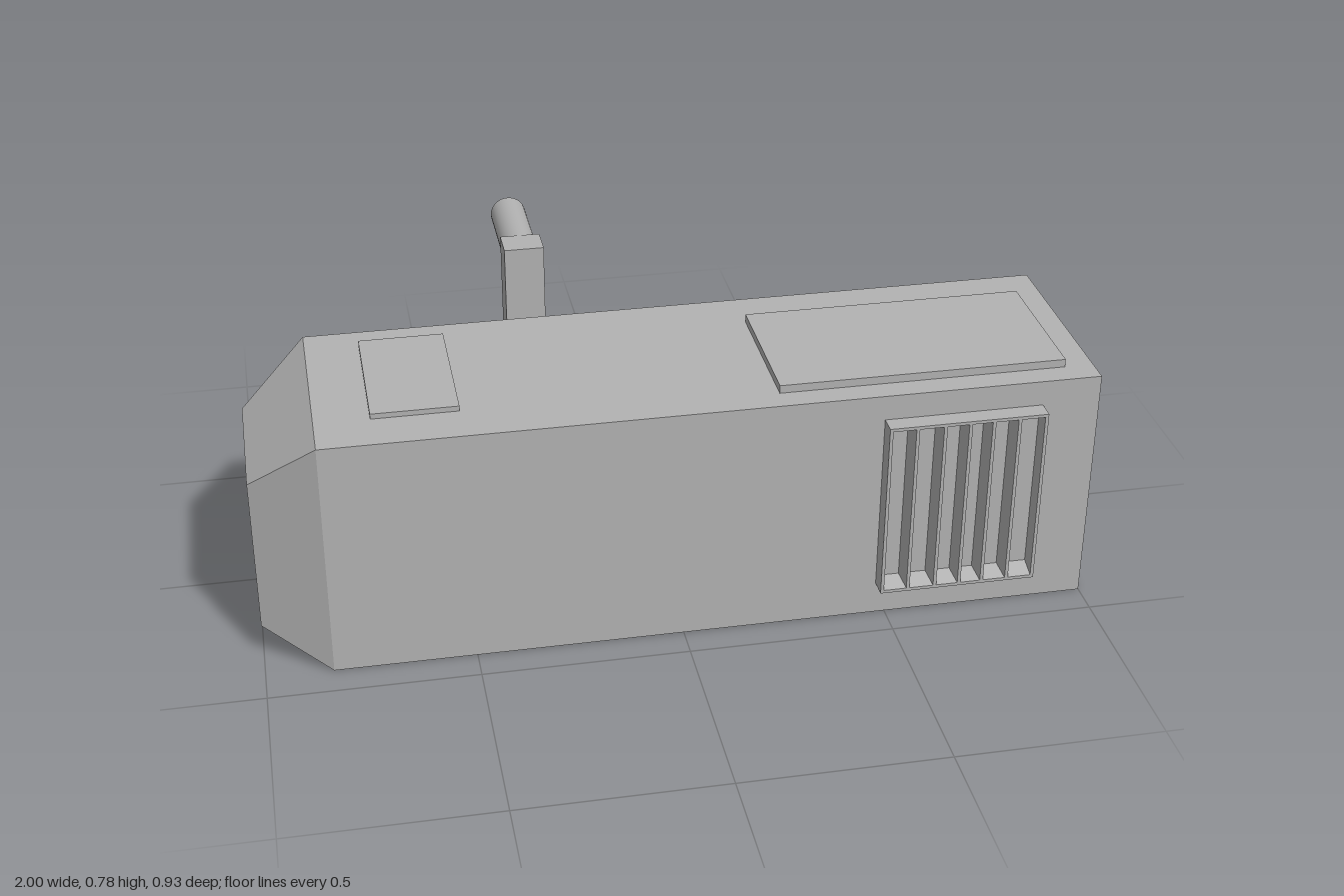
import * as THREE from 'three';

const grey = new THREE.MeshStandardMaterial({ color: 0xb2b2b2 });
grey.name = 'plain grey';

export function createModel() {
  const model = new THREE.Group();
  model.name = 'crankBox';

  const add = (name, geometry, parent = model) => {
    const mesh = new THREE.Mesh(geometry, grey);
    mesh.name = name;
    parent.add(mesh);
    return mesh;
  };
  // Box given by its minimum and maximum along each axis
  const box = (name, x0, x1, y0, y1, z0, z1, parent) =>
    add(name, new THREE.BoxGeometry(x1 - x0, y1 - y0, z1 - z0), parent)
      .position.set((x0 + x1) / 2, (y0 + y1) / 2, (z0 + z1) / 2);
  // Cylinder lying along z
  const rod = (name, x, y, r, z0, z1, parent) =>
    add(name, new THREE.CylinderGeometry(r, r, z1 - z0, 32).rotateX(Math.PI / 2), parent)
      .position.set(x, y, (z0 + z1) / 2);
  const polygon = (pts) => new THREE.Shape(pts.map(([x, y]) => new THREE.Vector2(x, y)));
  const extrude = (shape, depth) => new THREE.ExtrudeGeometry(shape, { depth, bevelEnabled: false });

  // Body: rectangular sections lofted along x, ending in a recess in the tapered end
  const sections = [
    [1, 0, 0.605, -0.125, 0.42],
    [-0.84, 0, 0.605, -0.125, 0.42],
    [-1, 0.09, 0.48, -0.02, 0.335],
    [-0.935, 0.09, 0.48, -0.02, 0.335],
  ].map(([x, y0, y1, z0, z1]) => [[x, y0, z0], [x, y0, z1], [x, y1, z1], [x, y1, z0]]);
  const positions = [];
  const quad = (a, b, c, d) => positions.push(...a, ...b, ...c, ...a, ...c, ...d);
  for (let s = 0; s < 3; s++) {
    for (let i = 0; i < 4; i++) {
      const j = (i + 1) % 4;
      quad(sections[s][i], sections[s][j], sections[s + 1][j], sections[s + 1][i]);
    }
  }
  quad(...[...sections[0]].reverse());
  quad(...sections[3]);
  const body = new THREE.BufferGeometry();
  body.setAttribute('position', new THREE.Float32BufferAttribute(positions, 3));
  body.computeVertexNormals();
  add('body', body);

  // Raised lids on the top
  box('largeLid', 0.235, 0.93, 0.6, 0.625, -0.005, 0.36);
  box('smallLid', -0.71, -0.505, 0.6, 0.618, -0.055, 0.305);

  // Crank on the back
  const crank = new THREE.Group();
  crank.name = 'crank';
  model.add(crank);
  rod('crankHub', -0.295, 0.29, 0.045, -0.157, -0.12, crank);
  box('crankArm', -0.337, -0.24, 0.245, 0.778, -0.235, -0.155, crank);
  rod('crankHandle', -0.289, 0.733, 0.044, -0.465, -0.233, crank);

  // Vent on the front: thin frame, wedge slats and sloping sills
  const vent = new THREE.Group();
  vent.name = 'vent';
  model.add(vent);
  const [vx0, vx1, vy0, vy1, vz0, vz1] = [0.475, 0.86, 0.083, 0.542, 0.419, 0.465];
  const rim = 0.008;
  const rectangle = (m) => [[vx0 + m, vy0 + m], [vx1 - m, vy0 + m], [vx1 - m, vy1 - m], [vx0 + m, vy1 - m]];
  const frame = polygon(rectangle(0));
  frame.holes.push(polygon(rectangle(rim)));
  add('ventFrame', extrude(frame, vz1 - vz0), vent).position.z = vz0;
  for (const x of [0.543, 0.61, 0.671, 0.728, 0.791]) {
    const wedge = polygon([[-0.012, -vz0], [-0.004, -vz1], [0.004, -vz1], [0.012, -vz0]]);
    const slat = extrude(wedge, vy1 - vy0 - 2 * rim).rotateX(-Math.PI / 2);
    add('ventSlat', slat, vent).position.set(x, vy0 + rim, 0);
  }
  for (const [y, up] of [[vy0 + rim, 1], [vy1 - rim, -1]]) {
    const wedge = polygon([[-vz0, y], [-vz1, y], [-vz0, y + 0.015 * up]]);
    const sill = extrude(wedge, vx1 - vx0 - 2 * rim).rotateY(Math.PI / 2);
    add('ventSill', sill, vent).position.x = vx0 + rim;
  }

  // Fittings in the recess: oval ring with a centre stud, and two oval buttons
  const fittings = new THREE.Group();
  fittings.name = 'recessFittings';
  model.add(fittings);
  const oval = (name, y, ry, rz, depth) => {
    const disc = new THREE.CylinderGeometry(1, 1, depth, 32).rotateZ(Math.PI / 2).scale(1, ry, rz);
    add(name, disc, fittings).position.set(-0.935 - depth / 2, y, 0.16);
  };
  const ring = new THREE.TorusGeometry(0.125, 0.014, 12, 40).rotateY(Math.PI / 2).scale(1, 0.76, 1);
  add('ovalRing', ring, fittings).position.set(-0.955, 0.29, 0.16);
  oval('ringPlate', 0.29, 0.09, 0.12, 0.012);
  oval('centreStud', 0.29, 0.01, 0.012, 0.02);
  oval('lowerButton', 0.15, 0.032, 0.065, 0.03);
  oval('upperButton', 0.43, 0.032, 0.065, 0.03);
  box('recessSidePlate', -0.985, -0.965, 0.11, 0.47, -0.045, -0.015, fittings);

  return model;
}
